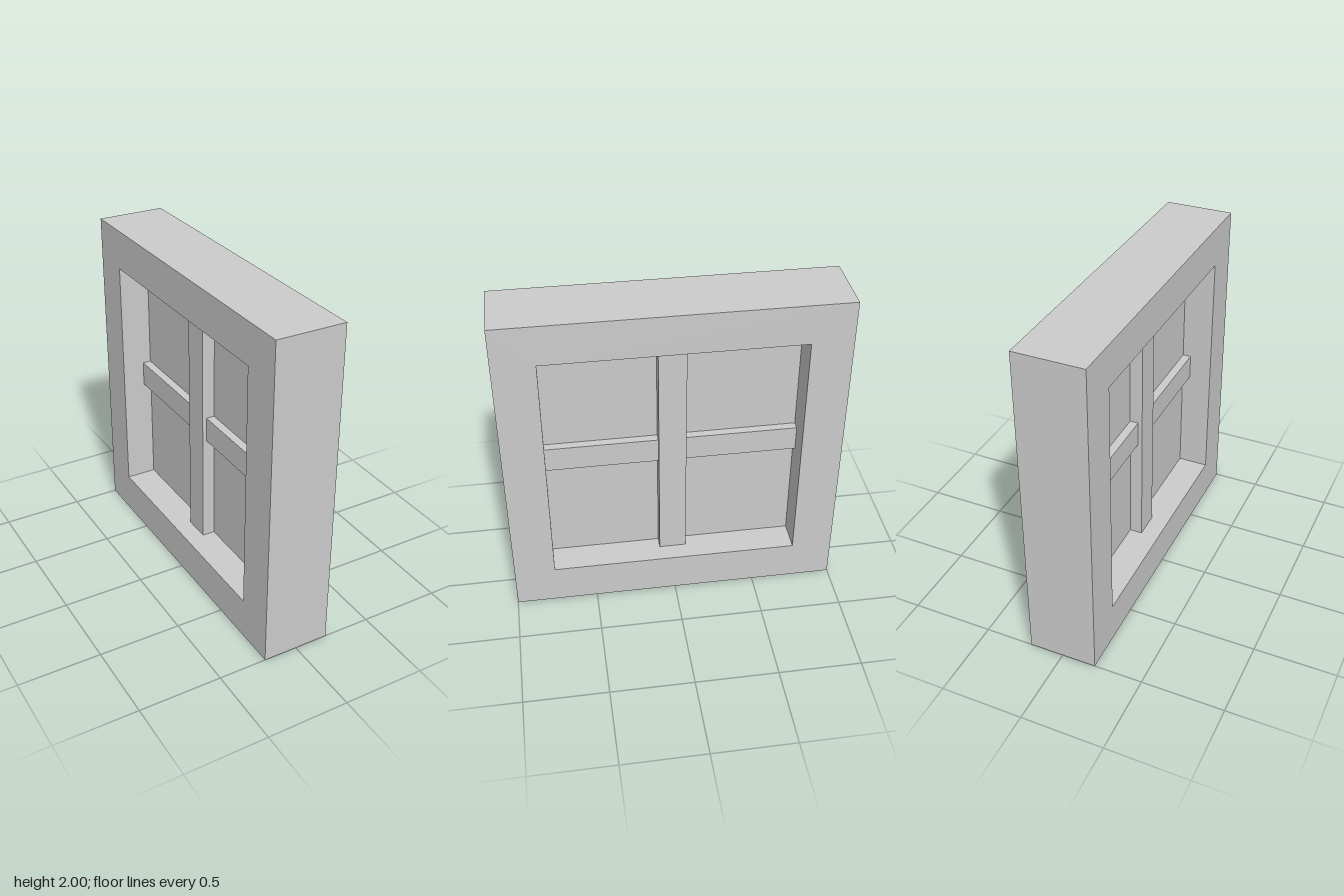
import * as THREE from 'three';

const MID = 1.003;   // height of the opening's centre
const HALF = 0.753;  // half size of the square opening
const DEPTH = 0.414; // thickness of the frame along x

export function createModel() {
  const group = new THREE.Group();
  group.name = 'window';
  const material = new THREE.MeshStandardMaterial({ color: 0xcccccc });

  const add = (name, geometry, x = 0, y = 0, z = 0) => {
    const mesh = new THREE.Mesh(geometry, material);
    mesh.name = name;
    mesh.position.set(x, y, z);
    group.add(mesh);
  };

  // Square frame with a square opening, extruded and turned to face along x
  const square = (h, y) => [[-h, y - h], [h, y - h], [h, y + h], [-h, y + h]]
    .map(([a, b]) => new THREE.Vector2(a, b));
  const shape = new THREE.Shape(square(1, 1));
  shape.holes.push(new THREE.Path(square(HALF, MID)));
  const frame = new THREE.ExtrudeGeometry(shape, { depth: DEPTH, bevelEnabled: false });
  frame.translate(0, 0, -DEPTH / 2).rotateY(Math.PI / 2);
  add('frame', frame);

  // Thin pane in the middle of the frame
  add('pane', new THREE.BoxGeometry(0.036, HALF * 2, HALF * 2), 0, MID, 0);

  // Upright bar stands proud of the two crossbar halves, on both faces
  const barHalf = 0.082;
  add('uprightBar', new THREE.BoxGeometry(0.19, HALF * 2, barHalf * 2), 0, MID, 0);
  const length = HALF - barHalf;
  for (const side of [1, -1]) {
    add(side > 0 ? 'frontCrossbar' : 'backCrossbar',
      new THREE.BoxGeometry(0.138, 0.155, length),
      0, MID + 0.002, side * (barHalf + length / 2));
  }
  return group;
}
